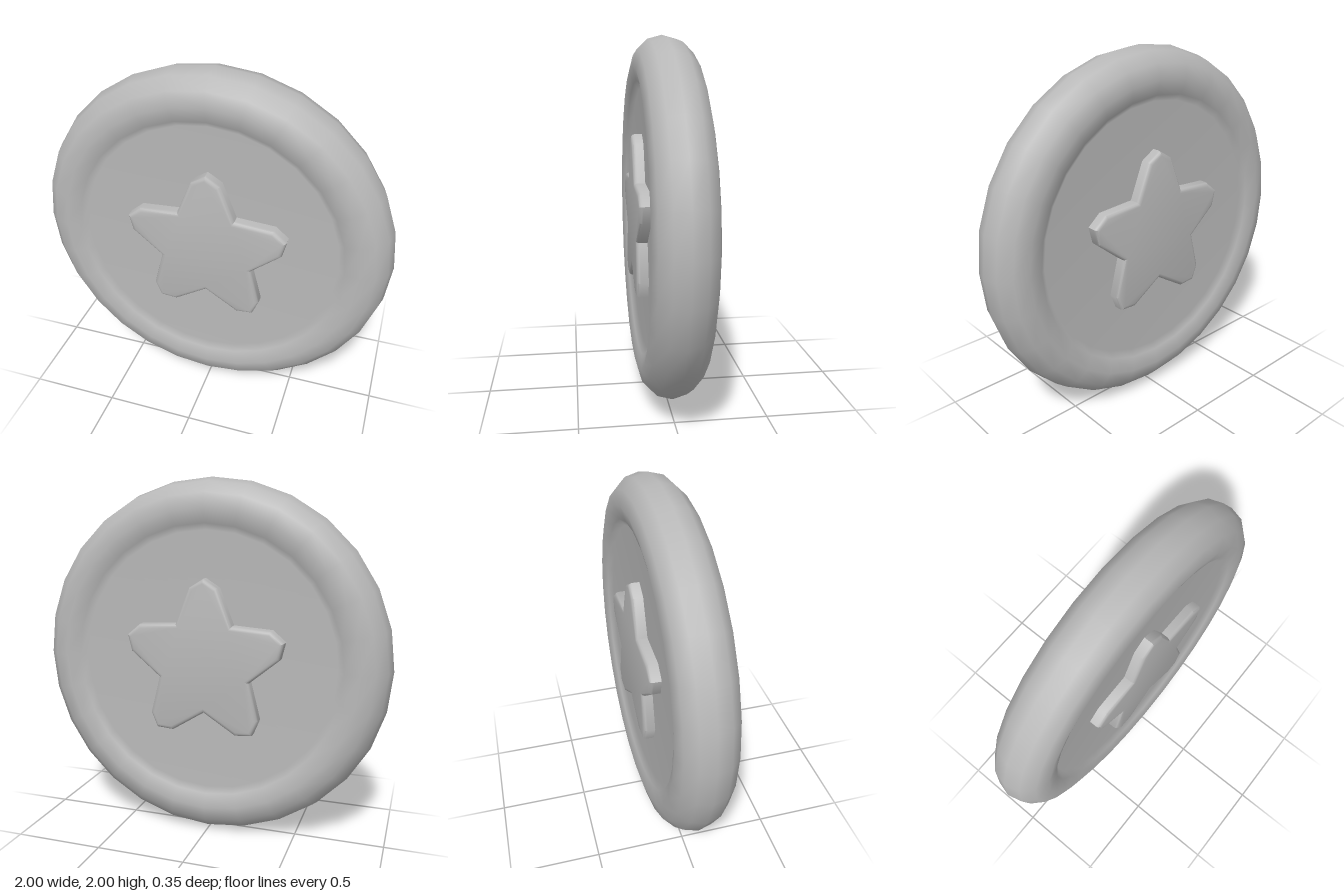
import * as THREE from 'three';
import { toCreasedNormals } from 'three/addons/utils/BufferGeometryUtils.js';

export function createModel() {
  const group = new THREE.Group();
  const grey = new THREE.MeshStandardMaterial({ color: 0xb8b8b8 });
  grey.name = 'coin grey';

  // Disc with a rounded rim and dished faces, turned around the z axis
  const ringRadius = 0.84, tube = 0.16, faceZ = 0.11;
  const profile = [new THREE.Vector2(0, -faceZ), new THREE.Vector2(0.725, -faceZ)];
  for (let i = -4; i <= 4; i++) {
    const a = (i * Math.PI) / 6;
    profile.push(new THREE.Vector2(ringRadius + tube * Math.cos(a), tube * Math.sin(a)));
  }
  profile.push(new THREE.Vector2(0.725, faceZ), new THREE.Vector2(0, faceZ));
  const discGeometry = new THREE.LatheGeometry(profile, 28);
  discGeometry.rotateX(Math.PI / 2);
  const disc = new THREE.Mesh(discGeometry, grey);
  disc.name = 'coinDisc';
  disc.position.y = 1;
  group.add(disc);

  // Blunt five-pointed star, raised on both faces
  const corners = [];
  const corner = (radius, degrees) => {
    const a = THREE.MathUtils.degToRad(degrees);
    corners.push(new THREE.Vector2(radius * Math.sin(a), radius * Math.cos(a)));
  };
  for (let k = 0; k < 5; k++) {
    const tip = -72 * k;
    corner(0.428, tip + 10.8);
    corner(0.47, tip);
    corner(0.428, tip - 10.8);
    corner(0.272, tip - 36);
  }
  const bevel = 0.022, halfDepth = 0.173;
  const starGeometry = new THREE.ExtrudeGeometry(new THREE.Shape(corners), {
    depth: 2 * (halfDepth - bevel),
    bevelThickness: bevel,
    bevelSize: bevel,
    bevelOffset: -bevel,
    bevelSegments: 3,
  });
  starGeometry.translate(0, 0, bevel - halfDepth);
  const star = new THREE.Mesh(toCreasedNormals(starGeometry, 0.7), grey);
  star.name = 'raisedStar';
  star.position.y = 1;
  group.add(star);

  return group;
}
